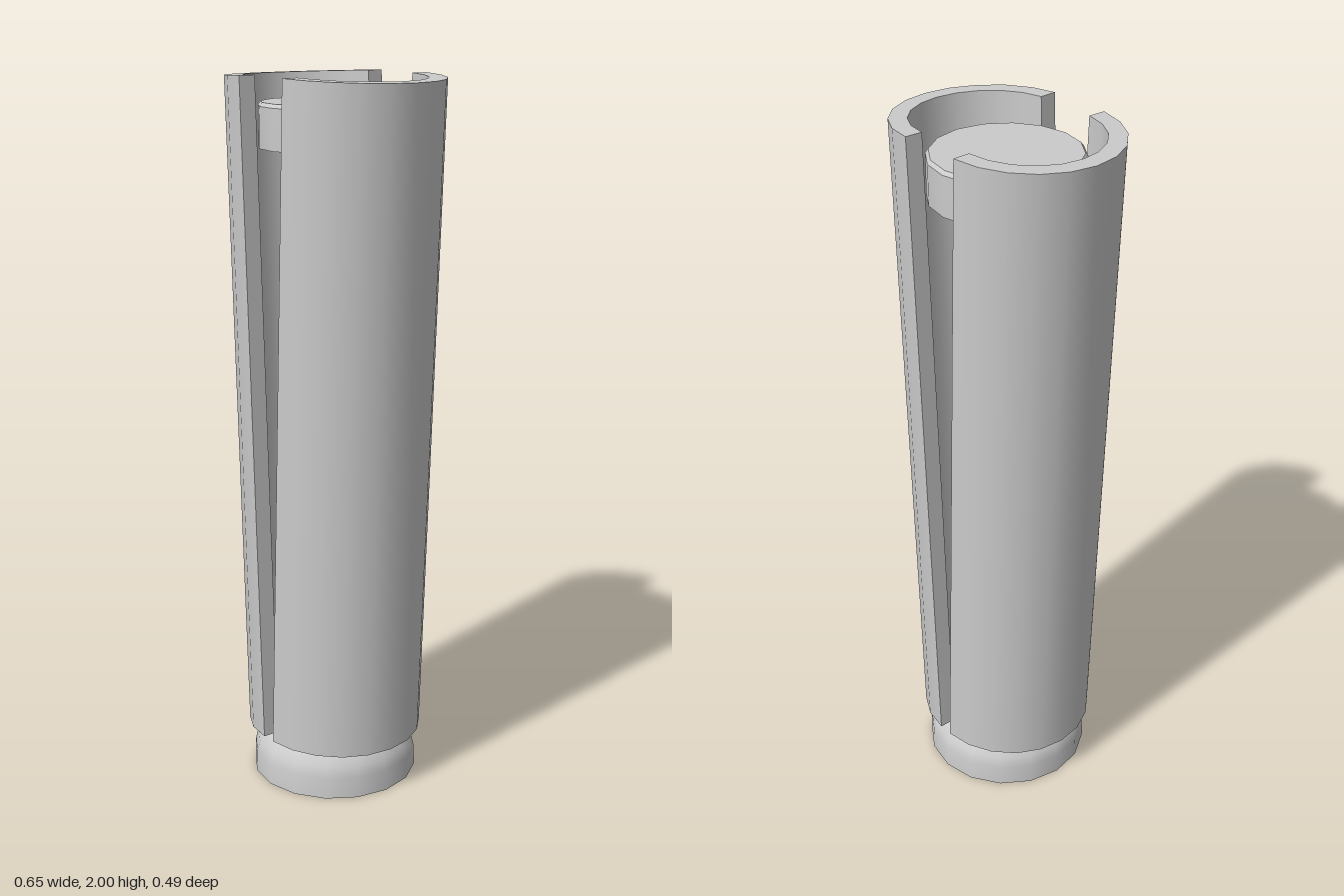
import * as THREE from 'three';
import { toCreasedNormals } from 'three/addons/utils/BufferGeometryUtils.js';

const SIDES = 16;

export function createModel() {
  const model = new THREE.Group();
  const material = new THREE.MeshStandardMaterial({ color: 0xcccccc });

  const addMesh = (name, geometry, parent = model) => {
    const mesh = new THREE.Mesh(toCreasedNormals(geometry, 0.6), material);
    mesh.name = name;
    parent.add(mesh);
    return mesh;
  };

  // Turned part from [radius, height] pairs, listed bottom to top
  const turned = (name, profile) => {
    const points = profile.map(([r, y]) => new THREE.Vector2(r, y));
    return addMesh(name, new THREE.LatheGeometry(points, SIDES));
  };

  // Base: low drum with a domed top
  const dome = [];
  for (let i = 0; i <= 6; i++) {
    const a = (i / 6) * Math.PI / 2;
    dome.push([i === 6 ? 0 : 0.236 * Math.cos(a), 0.06 + 0.125 * Math.sin(a)]);
  }
  turned('base', [[0, 0], [0.238, 0], ...dome]);

  // Central rod
  turned('rod', [[0, 0.15], [0.088, 0.15], [0.088, 1.83], [0, 1.83]]);

  // Round head on the rod with a narrow bevel
  turned('head', [[0, 1.81], [0.205, 1.81], [0.205, 1.92], [0.197, 1.93], [0, 1.93]]);

  // Half-tube section shared by both shells
  const section = new THREE.Shape();
  const steps = 10;
  const span = Math.PI - 0.07;
  const arc = (radius, direction) => {
    const points = [];
    for (let i = 0; i <= steps; i++) {
      const a = direction * (i / steps - 0.5) * span;
      points.push(new THREE.Vector2(radius * Math.cos(a), radius * Math.sin(a)));
    }
    return points;
  };
  section.setFromPoints([...arc(0.243, 1), ...arc(0.194, -1)]);
  const shellGeometry = new THREE.ExtrudeGeometry(section, { depth: 1.857, bevelEnabled: false });
  shellGeometry.rotateX(-Math.PI / 2);

  // Two shells leaning apart from the base
  for (const side of [1, -1]) {
    const shell = new THREE.Group();
    shell.name = side > 0 ? 'leftShell' : 'rightShell';
    shell.position.set(side * 0.012, 0.145, 0);
    shell.rotation.z = -side * 0.0387;
    const wall = addMesh('shellWall', shellGeometry, shell);
    if (side < 0) wall.rotation.y = Math.PI;
    model.add(shell);
  }

  return model;
}
